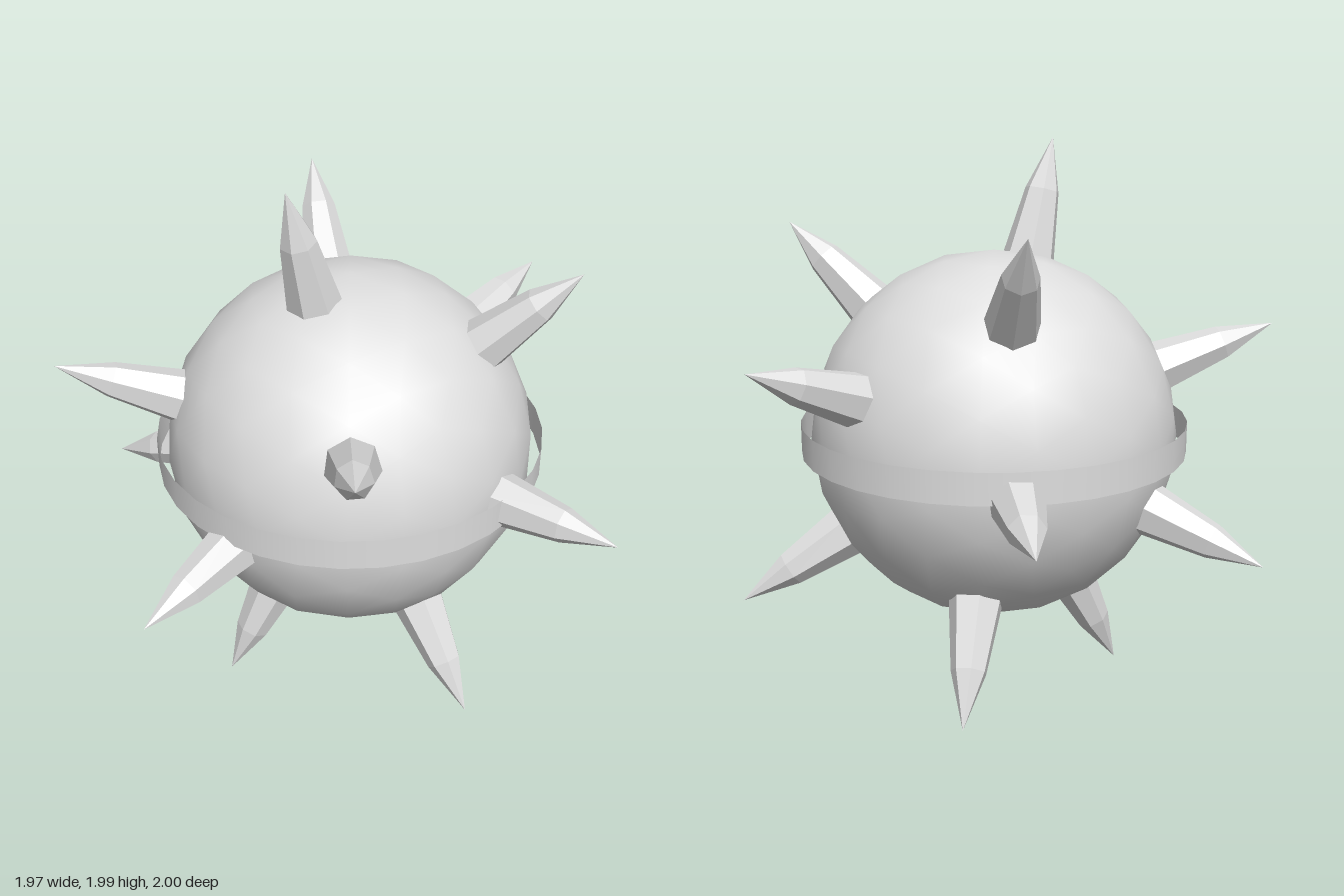
import * as THREE from 'three';

const CENTRE_Y = 0.96;
const RADIUS = 0.655;

// Spike tips, measured from the ball's centre
const TIPS = [
  [-0.28, 1.03, 0.08], [0.25, 0.78, -0.69], [0.56, 0.73, 0.53], [-0.49, 0.45, 0.84],
  [-0.93, 0.38, -0.39], [0.98, 0.36, -0.23], [0.40, 0.00, 1.00], [-0.99, -0.18, 0.38],
  [0.89, -0.57, 0.23], [0.07, -0.82, 0.69], [-0.49, -0.96, -0.08], [0.40, -0.84, -0.54],
  [0.39, -0.09, -1.00], [-0.57, -0.34, -0.84],
];

// Seven-sided faceted spike along +y, starting just inside the ball
function spikeGeometry(length) {
  const profile = [[0, 0.58], [0.098, 0.58], [0.096, 0.63], [0.062, 0.88], [0, length]]
    .map(([r, y]) => new THREE.Vector2(r, y));
  const geometry = new THREE.LatheGeometry(profile, 7).toNonIndexed();
  geometry.computeVertexNormals();
  return geometry;
}

export function createModel() {
  const iron = new THREE.MeshStandardMaterial({ color: 0xdedede, side: THREE.DoubleSide });
  iron.name = 'pale iron grey';

  const model = new THREE.Group();
  model.name = 'spikedBall';

  const body = new THREE.Group();
  body.name = 'body';
  body.position.y = CENTRE_Y;
  model.add(body);

  // Smooth-shaded ball
  const ball = new THREE.Mesh(new THREE.IcosahedronGeometry(RADIUS, 3), iron);
  ball.name = 'ball';
  body.add(ball);

  // Thin open band standing off the equator
  const band = new THREE.Mesh(new THREE.CylinderGeometry(0.69, 0.69, 0.11, 32, 1, true), iron);
  band.name = 'equatorBand';
  body.add(band);

  // Spikes pointing straight out
  const spikes = new THREE.Group();
  spikes.name = 'spikes';
  body.add(spikes);
  const up = new THREE.Vector3(0, 1, 0);
  TIPS.forEach((tip, i) => {
    const direction = new THREE.Vector3(...tip);
    const spike = new THREE.Mesh(spikeGeometry(direction.length()), iron);
    spike.name = `spike${i + 1}`;
    spike.quaternion.setFromUnitVectors(up, direction.normalize());
    spikes.add(spike);
  });

  return model;
}
